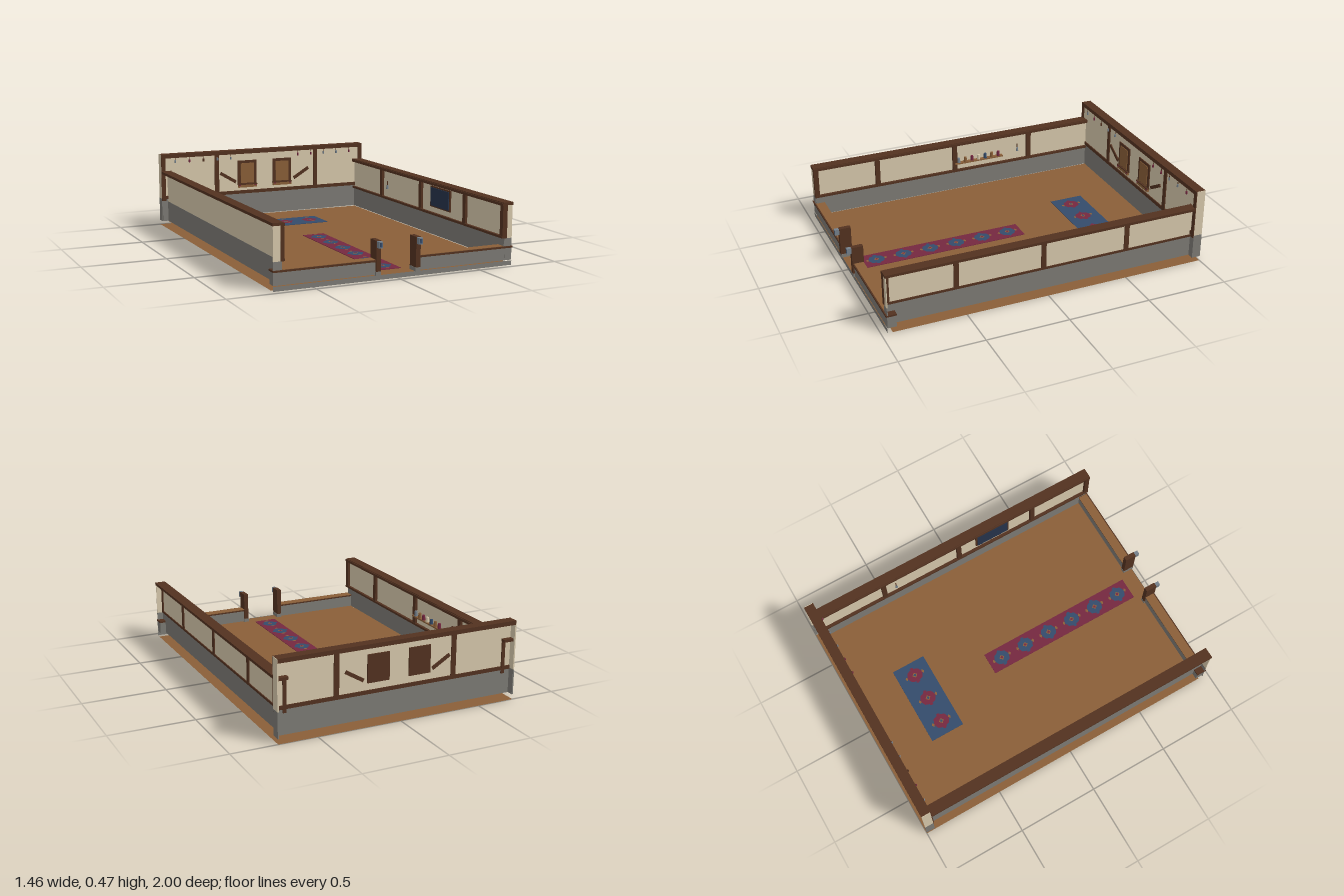
import * as THREE from 'three';

const mat = (name, color, side = THREE.FrontSide) => {
  const m = new THREE.MeshStandardMaterial({ color, side });
  m.name = name;
  return m;
};

export function createModel() {
  const root = new THREE.Group();
  root.name = 'openHall';
  const plaster = mat('plaster', 0xd8c9ac);
  const stone = mat('stone', 0x7d7b75, THREE.DoubleSide);
  const timber = mat('darkTimber', 0x533220);
  const floorWood = mat('floorWood', 0x8a5f38, THREE.DoubleSide);
  const blue = mat('blueCloth', 0x344b6b);
  const red = mat('redCloth', 0x752840);
  const steel = mat('lampSteel', 0x75818c);
  const slate = mat('darkBlueBoard', 0x26344c);

  const add = (name, geometry, material, x, y, z) => {
    const m = new THREE.Mesh(geometry, material);
    m.name = name;
    m.position.set(x, y, z);
    root.add(m);
    return m;
  };
  // box given by its limits on each axis
  const box = (name, material, x0, x1, y0, y1, z0, z1) =>
    add(name, new THREE.BoxGeometry(x1 - x0, y1 - y0, z1 - z0), material,
      (x0 + x1) / 2, (y0 + y1) / 2, (z0 + z1) / 2);
  // box mirrored over x = 0 by side s
  const sideBox = (s, name, material, a, b, ...rest) =>
    box(name, material, Math.min(s * a, s * b), Math.max(s * a, s * b), ...rest);

  // floor sheets, open at the sides, and the front threshold strip
  const sheet = (name, width, y, z0, z1) => {
    const g = new THREE.PlaneGeometry(width, z1 - z0).rotateX(-Math.PI / 2);
    add(name, g, floorWood, 0, y, (z0 + z1) / 2);
  };
  sheet('floorUnderside', 1.458, 0, -1, 0.935);
  sheet('floorTop', 1.37, 0.024, -0.955, 0.963);
  add('threshold', new THREE.PlaneGeometry(1.458, 0.026), stone, 0, 0.013, 0.964);

  // side walls: thin sheets under an overhanging cap, with end plates at the front
  const postZ = [0.95, 0.547, 0.017, -0.512];
  for (const s of [1, -1]) {
    sideBox(s, 'sideWallBase', stone, 0.678, 0.69, 0.03, 0.16, -0.952, 0.96);
    sideBox(s, 'sideWallPanel', plaster, 0.681, 0.689, 0.16, 0.35, -0.952, 0.96);
    sideBox(s, 'sideWallCap', timber, 0.668, 0.731, 0.346, 0.362, -0.945, 0.966);
    sideBox(s, 'innerTopRail', timber, 0.661, 0.684, 0.343, 0.358, -0.945, 0.966);
    sideBox(s, 'innerRail', timber, 0.663, 0.684, 0.157, 0.17, -0.945, 0.965);
    sideBox(s, 'endPlateStone', stone, 0.682, 0.728, 0.03, 0.157, 0.958, 0.963);
    sideBox(s, 'endPlatePlaster', plaster, 0.682, 0.728, 0.157, 0.347, 0.958, 0.963);
    for (const z of postZ) {
      sideBox(s, 'innerPost', timber, 0.665, 0.685, 0.157, 0.35, z - 0.015, z + 0.015);
      if (s > 0) sideBox(s, 'outerPost', timber, 0.685, 0.695, 0.157, 0.35, z - 0.015, z + 0.015);
    }
    // corner trim on the outside of the back wall
    sideBox(s, 'backCornerPost', timber, 0.665, 0.685, 0.155, 0.36, -0.968, -0.956);
    sideBox(s, 'backCornerCap', timber, 0.662, 0.727, 0.346, 0.362, -0.99, -0.945);
  }
  box('outerRail', timber, 0.685, 0.695, 0.157, 0.17, -0.945, 0.963);

  // back wall: thin sheet with trims on both faces and plates at its ends
  const trimZ = [-0.966, -0.942];
  box('backWallBase', stone, -0.722, 0.722, 0.03, 0.18, -0.96, -0.946);
  box('backWallPanel', plaster, -0.722, 0.722, 0.18, 0.45, -0.96, -0.949);
  box('backWallCap', timber, -0.728, 0.728, 0.446, 0.471, -1, -0.94);
  box('backWallRail', timber, -0.722, 0.722, 0.175, 0.197, ...trimZ);
  for (const x of [-0.347, 0.374])
    box('backWallPost', timber, x - 0.015, x + 0.015, 0.19, 0.45, ...trimZ);
  for (const s of [1, -1]) {
    sideBox(s, 'backEndStone', stone, 0.723, 0.731, 0.03, 0.18, -1, -0.945);
    sideBox(s, 'backEndPlaster', plaster, 0.723, 0.731, 0.18, 0.47, -0.9995, -0.945);
    sideBox(s, 'backWallEndPost', timber, 0.704, 0.731, 0.165, 0.47, -0.945, -0.94);
    const brace = add('diagonalBrace', new THREE.BoxGeometry(0.126, 0.021, 0.024), timber,
      s * 0.267, 0.29, -0.954);
    brace.rotation.z = s * 0.54;
  }

  // shuttered windows with sills and window boxes
  for (const x of [-0.131, 0.123]) {
    box('windowFrame', timber, x - 0.067, x + 0.067, 0.238, 0.4, -0.968, -0.942);
    box('windowShutter', floorWood, x - 0.047, x + 0.047, 0.247, 0.382, -0.944, -0.938);
    box('windowSill', floorWood, x - 0.066, x + 0.066, 0.217, 0.236, -0.95, -0.934);
    box('sillEdge', timber, x - 0.07, x + 0.07, 0.235, 0.242, -0.95, -0.932);
    for (const dx of [-0.056, 0.056])
      box('sillFlower', red, x + dx - 0.006, x + dx + 0.006, 0.228, 0.236, -0.936, -0.931);
  }

  // row of small hanging lamps
  const lampX = [-0.638, -0.54, -0.443, -0.345, -0.25, 0.24, 0.337, 0.433, 0.53, 0.63];
  const lampMat = [steel, red, timber, steel, steel, red, red, steel, steel, red];
  lampX.forEach((x, i) => {
    add('lampCord', new THREE.BoxGeometry(0.003, 0.014, 0.003), timber, x, 0.439, -0.937);
    add('hangingLamp', new THREE.CylinderGeometry(0.006, 0.006, 0.018, 6), lampMat[i], x, 0.422, -0.936);
  });

  // low front wall with gate posts
  for (const s of [1, -1]) {
    sideBox(s, 'frontWall', stone, 0.13, 0.727, 0.03, 0.102, 0.91, 0.962);
    sideBox(s, 'frontSill', timber, 0.13, 0.73, 0.101, 0.111, 0.908, 0.97);
    sideBox(s, 'frontSillTop', floorWood, 0.13, 0.675, 0.11, 0.113, 0.906, 0.963);
    sideBox(s, 'gatePostBase', stone, 0.105, 0.137, 0.026, 0.048, 0.902, 0.971);
    sideBox(s, 'gatePost', timber, 0.107, 0.135, 0.048, 0.218, 0.903, 0.973);
    sideBox(s, 'gateLamp', steel, 0.11, 0.133, 0.18, 0.216, 0.973, 1);
    sideBox(s, 'gateLampPane', blue, 0.115, 0.128, 0.186, 0.21, 0.996, 1.0015);
  }

  // rugs with medallions
  const flat = (name, shape, material, x, y, z, sx, sz) =>
    add(name, shape.clone().rotateX(-Math.PI / 2).scale(sx, 1, sz), material, x, y, z);
  const octagon = new THREE.CircleGeometry(1, 8);
  const diamond = new THREE.CircleGeometry(1, 4);
  const medallion = (x, z, main, accent) => {
    flat('rugMedallion', octagon, main, x, 0.0305, z, 0.045, 0.052);
    flat('medallionRing', diamond, floorWood, x, 0.0315, z, 0.017, 0.017);
    flat('medallionCentre', diamond, accent, x, 0.0325, z, 0.01, 0.01);
    for (const s of [1, -1]) {
      flat('medallionTip', diamond, floorWood, x, 0.0315, z + s * 0.056, 0.014, 0.009);
      flat('medallionSideTip', diamond, main, x + s * 0.046, 0.0315, z, 0.008, 0.014);
    }
  };
  box('blueRug', blue, -0.255, 0.255, 0.0265, 0.0295, -0.7, -0.485);
  for (const x of [-0.17, 0, 0.17]) medallion(x, -0.59, red, blue);
  box('redRug', red, -0.07, 0.07, 0.0265, 0.0295, -0.15, 0.87);
  for (let i = 0; i < 6; i++) medallion(0, -0.063 + i * 0.17, blue, red);

  // shelf of small jars on the right wall
  box('shelf', floorWood, -0.682, -0.655, 0.212, 0.221, -0.32, 0.02);
  const jarMats = [red, floorWood, blue, plaster, red, floorWood, steel];
  jarMats.forEach((m, i) => add('shelfJar', new THREE.CylinderGeometry(0.009, 0.012, 0.032, 8), m,
    -0.667, 0.237, -0.29 + i * 0.047));

  // wall lamps on both side walls
  for (const s of [1, -1]) {
    add('wallLamp', new THREE.CylinderGeometry(0.005, 0.009, 0.026, 6), steel, s * 0.67, 0.24, -0.43);
    add('wallLampHook', new THREE.BoxGeometry(0.006, 0.025, 0.006), timber, s * 0.671, 0.265, -0.43);
  }

  // framed board on the left wall
  box('boardFrame', timber, 0.671, 0.684, 0.205, 0.335, 0.14, 0.375);
  box('boardFace', slate, 0.666, 0.672, 0.213, 0.327, 0.15, 0.365);

  return root;
}
